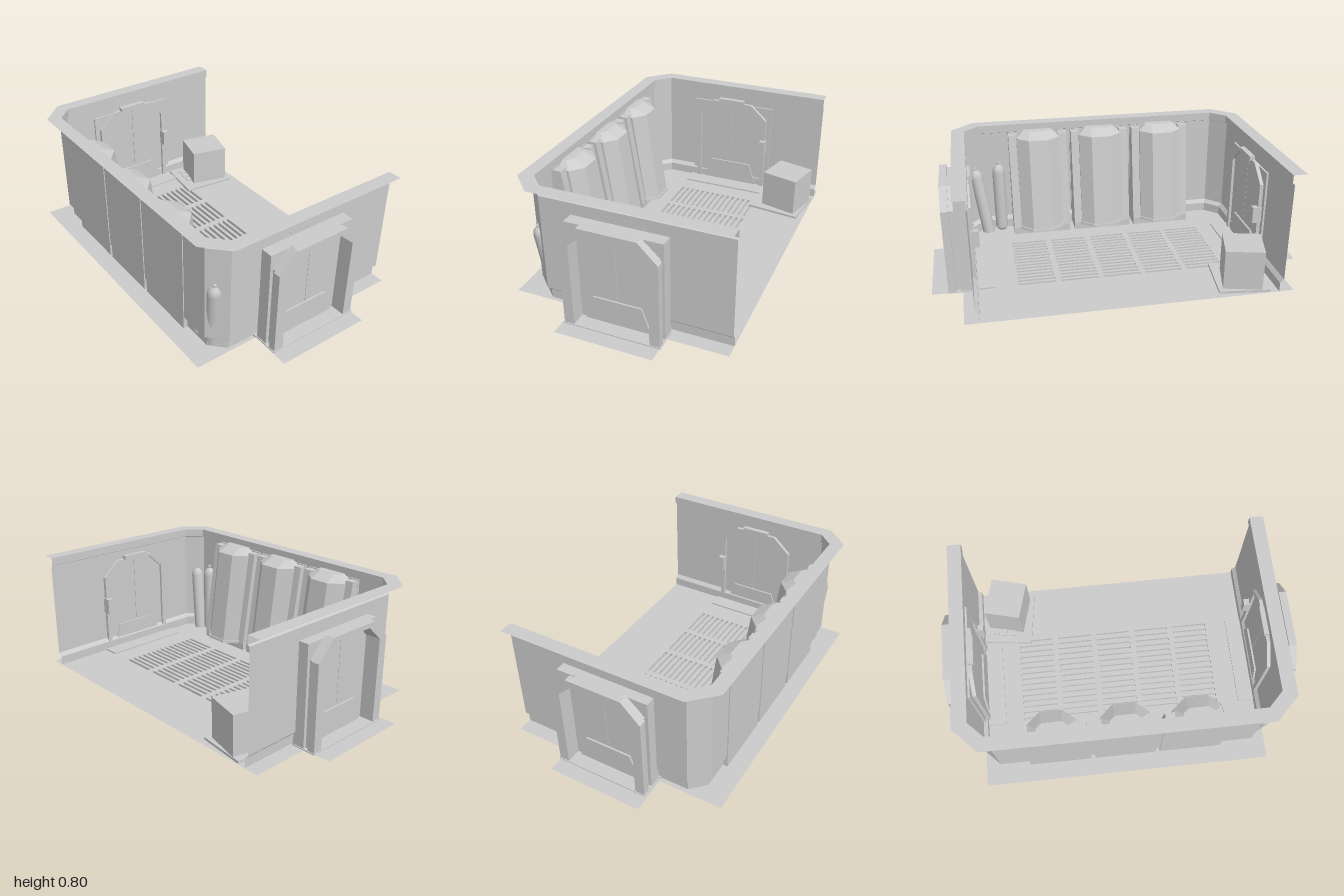
import * as THREE from 'three';
import { ConvexGeometry } from 'three/addons/geometries/ConvexGeometry.js';

const mat = new THREE.MeshStandardMaterial({ color: 0xcccccc, flatShading: true, side: THREE.DoubleSide });
const smooth = new THREE.MeshStandardMaterial({ color: 0xcccccc, side: THREE.DoubleSide });
const FLOOR = 0.15;

function add(parent, name, geo, material = mat) {
  const m = new THREE.Mesh(geo, material);
  m.name = name;
  parent.add(m);
  return m;
}

// Box given by its extents
function box(parent, name, x0, x1, y0, y1, z0, z1) {
  const g = new THREE.BoxGeometry(x1 - x0, y1 - y0, z1 - z0);
  g.translate((x0 + x1) / 2, (y0 + y1) / 2, (z0 + z1) / 2);
  return add(parent, name, g);
}

const shapeOf = (pts) => new THREE.Shape(pts.map(([x, y]) => new THREE.Vector2(x, y)));
const rect = (x0, x1, y0, y1) => [[x0, y0], [x1, y0], [x1, y1], [x0, y1]];

// Extrudes an outline (with holes) from z0 to z1
function slab(outline, holes, z0, z1) {
  const s = shapeOf(outline);
  s.holes = holes.map((h) => new THREE.Path(h.map(([x, y]) => new THREE.Vector2(x, y))));
  return new THREE.ExtrudeGeometry(s, { depth: z1 - z0, bevelEnabled: false }).translate(0, 0, z0);
}

// Flat floor with door landings, grated centre and a pan beneath
function buildFloor(root) {
  const pan = rect(-0.24, 0.27, -0.63, 0.63);
  const plate = shapeOf([[-0.59, -0.785], [-0.245, -0.785], [-0.245, -1], [0.27, -1], [0.27, -0.84],
    [0.585, -0.84], [0.585, 0.855], [0.265, 0.855], [0.265, 1], [-0.255, 1], [-0.25, 0.8], [-0.59, 0.8]]);
  plate.holes.push(new THREE.Path(pan.map(([x, y]) => new THREE.Vector2(x, y))));
  add(root, 'floorPlate', new THREE.ShapeGeometry(plate).rotateX(-Math.PI / 2).translate(0, FLOOR, 0));

  const slots = [];
  for (let row = 0; row < 5; row++) {
    const z = -0.472 + row * 0.231;
    for (let i = 0; i < 15; i++) {
      const x = -0.227 + i * 0.0342;
      slots.push(rect(x - 0.008, x + 0.008, -z - 0.1, -z + 0.1));
    }
  }
  add(root, 'floorGrate', slab(pan, slots, FLOOR - 0.02, FLOOR).rotateX(-Math.PI / 2));
  box(root, 'underfloorPan', -0.24, 0.27, 0, FLOOR - 0.02, -0.63, 0.63);
}

// Wall surface: a profile of [outward offset, height] swept along three chamfered sides
function buildWalls(root) {
  const profile = [[-0.02, FLOOR], [-0.02, 0.2], [0, 0.22], [0, 0.75], [-0.012, 0.755],
    [-0.012, 0.8], [0.062, 0.8]];
  const k = Math.tan(Math.PI / 8);
  const pos = [], index = [];
  for (const [d, y] of profile) {
    const half = [[0.585, 0.79 + d], [-0.405 - k * d, 0.79 + d], [-0.49 - d, 0.705 + k * d]];
    const path = [...half, ...half.map(([x, z]) => [x, -z]).reverse()];
    for (const [x, z] of path) pos.push(x, y, z - 0.006);
  }
  const n = 6;
  for (let r = 0; r < profile.length - 1; r++) {
    for (let i = 0; i < n - 1; i++) {
      const a = r * n + i, b = a + 1, c = a + n, d = c + 1;
      index.push(a, c, b, b, c, d);
    }
  }
  const g = new THREE.BufferGeometry();
  g.setAttribute('position', new THREE.Float32BufferAttribute(pos, 3));
  g.setIndex(index);
  const flat = g.toNonIndexed();
  flat.computeVertexNormals();
  add(root, 'walls', flat);
}

// Arched outline with chamfered shoulders
const CX = 0.0175;
function arch(half, shoulder, top, cut, y0 = FLOOR) {
  return [[CX - half, y0], [CX + half, y0], [CX + half, shoulder], [CX + half - cut, top],
    [CX - half + cut, top], [CX - half, shoulder]];
}

// Doorway facing +z
function buildDoor() {
  const door = new THREE.Group();
  door.name = 'doorway';
  const opening = arch(0.2, 0.605, 0.685, 0.09, FLOOR + 0.001);
  const frame = arch(0.2525, 0.61, 0.71, 0.1);
  add(door, 'doorSurround', slab(rect(CX - 0.2525, CX + 0.2525, FLOOR, 0.687), [opening], 0.785, 0.85));
  add(door, 'doorFrameNeck', slab(arch(0.235, 0.605, 0.7, 0.1), [opening], 0.85, 0.875));
  add(door, 'doorFrame', slab(frame, [opening], 0.875, 0.915));
  add(door, 'innerFrame', slab(arch(0.225, 0.61, 0.7, 0.1), [opening], 0.765, 0.785));
  // Two leaves meeting at a narrow seam
  for (const s of [-1, 1]) {
    const leaf = [[0.001, FLOOR], [0.2, FLOOR], [0.2, 0.605], [0.11, 0.685], [0.001, 0.685]]
      .map(([x, y]) => [CX + s * x, y]);
    add(door, 'doorLeaf', slab(leaf, [], 0.78, 0.835));
  }
  const kick = [[CX - 0.175, 0.155], [CX + 0.175, 0.155], [CX + 0.128, 0.29], [CX - 0.128, 0.29]];
  add(door, 'kickPlate', slab(kick, [], 0.77, 0.845));
  box(door, 'innerHeader', -0.065, 0.095, 0.695, 0.72, 0.755, 0.785);
  box(door, 'threshold', -0.245, 0.265, FLOOR, 0.158, 0.675, 0.785);
  box(door, 'outerSill', -0.24, 0.275, FLOOR, 0.155, 0.785, 0.92);
  box(door, 'doorSwitch', 0.215, 0.25, 0.39, 0.48, 0.735, 0.785);
  return door;
}

// Leaning faceted column between two sloped posts, on a base that reaches below the floor
function buildColumn(z) {
  const unit = new THREE.Group();
  unit.name = 'wallColumn';
  const ring = (y, side, front, wide, narrow) => [[-0.48, wide], [side, wide], [front, narrow]]
    .flatMap(([x, w]) => [new THREE.Vector3(x, y, w), new THREE.Vector3(x, y, -w)]);
  add(unit, 'columnBody', new ConvexGeometry([...ring(0.19, -0.345, -0.287, 0.125, 0.058),
    ...ring(0.73, -0.42, -0.362, 0.125, 0.058), ...ring(0.765, -0.455, -0.43, 0.08, 0.05)]));
  add(unit, 'columnLip', new ConvexGeometry([...ring(0.187, -0.34, -0.28, 0.132, 0.062),
    ...ring(0.202, -0.342, -0.282, 0.132, 0.062)]));
  const post = [[-0.485, 0.1], [-0.35, 0.1], [-0.35, 0.19], [-0.437, 0.745], [-0.485, 0.745]];
  for (const s of [-1, 1]) add(unit, 'columnPost', slab(post, [], s * 0.145 - 0.025, s * 0.145 + 0.025));
  box(unit, 'columnBase', -0.49, -0.35, 0.1, 0.187, -0.165, 0.165);
  box(unit, 'columnBackPanel', -0.495, -0.48, 0.1, 0.75, -0.172, 0.172);
  unit.position.z = z;
  return unit;
}

// Gas cylinder standing on its own origin
function buildBottle() {
  const bottle = new THREE.Group();
  bottle.name = 'gasBottle';
  const pts = [[0, 0], [0.025, 0.005], [0.036, 0.025], [0.036, 0.375], [0.031, 0.4], [0.018, 0.416], [0.007, 0.42],
    [0.007, 0.428], [0.012, 0.438], [0, 0.438]].map(([x, y]) => new THREE.Vector2(x, y));
  add(bottle, 'bottleBody', new THREE.LatheGeometry(pts, 14), smooth);
  return bottle;
}

export function createModel() {
  const root = new THREE.Group();
  root.name = 'corridorRoom';
  buildFloor(root);
  buildWalls(root);

  // Doorways at both ends
  const front = buildDoor();
  const back = buildDoor();
  back.scale.z = -1;
  root.add(front, back);

  for (const z of [-0.378, -0.012, 0.355]) root.add(buildColumn(z));

  // One upright and one leaning bottle
  const upright = buildBottle();
  upright.position.set(-0.445, FLOOR, 0.595);
  const leaning = buildBottle();
  leaning.position.set(-0.432, 0.122, 0.672);
  leaning.rotation.set(0.14, 0, 0.06);
  root.add(upright, leaning);

  // Crate on a low pad with three buttons
  const pad = new THREE.Group();
  pad.name = 'cratePad';
  pad.position.set(0.41, 0, -0.615);
  pad.rotation.y = -0.12;
  box(pad, 'padPlate', -0.155, 0.155, 0.148, 0.163, -0.135, 0.135);
  for (const z of [-0.08, -0.03, 0.02]) box(pad, 'padButton', -0.11, -0.07, 0.16, 0.17, z - 0.018, z + 0.018);
  const crate = new THREE.Group();
  crate.name = 'crate';
  crate.position.set(0.443, 0, -0.615);
  crate.rotation.y = -0.25;
  box(crate, 'crateBody', -0.108, 0.108, 0.163, 0.38, -0.102, 0.102);
  root.add(pad, crate);
  return root;
}
